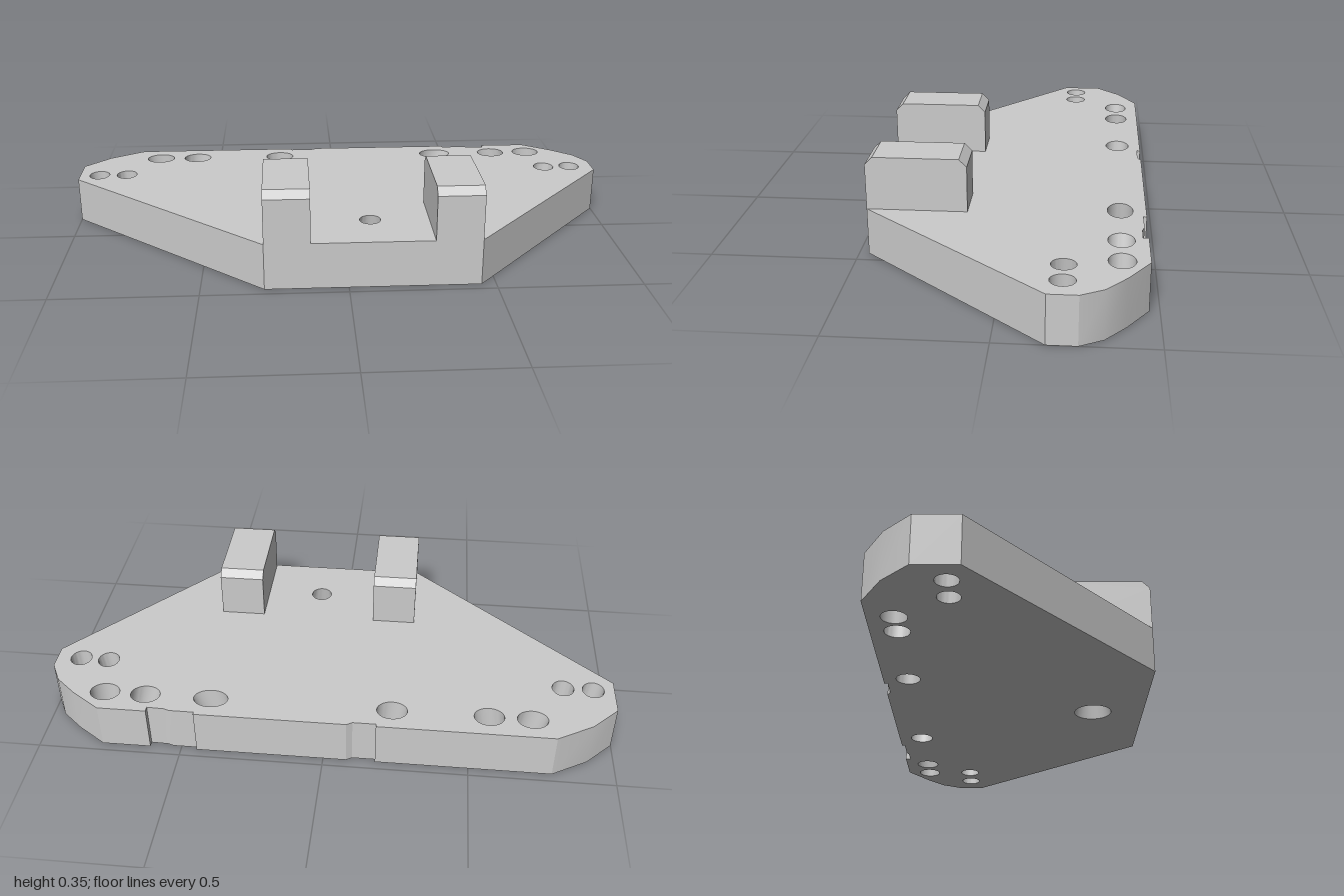
import * as THREE from 'three';
import { toCreasedNormals } from 'three/addons/utils/BufferGeometryUtils.js';

const THICK = 0.165, FRONT = 0.467, BACK = -0.467;

// Plate outline as [x, z], counter-clockwise seen from above
const outline = [
  [-1, -0.16], [-0.285, FRONT], [0.45, FRONT], [1, -0.16],
  [1, -0.255], [0.96, -0.33], [0.885, -0.395], [0.78, BACK],
  // wide stepped notch in the back edge
  [0.61, BACK], [0.61, -0.447], [0.55, -0.449], [0.53, -0.456], [0.445, -0.456], [0.445, BACK],
  // small notch with a sloped side
  [-0.08, BACK], [-0.1, -0.455], [-0.18, -0.455], [-0.18, BACK],
  [-0.785, BACK], [-0.91, -0.395], [-1, -0.305],
];

// Leaning holes: [x at top, x at bottom, z, half width at top, radius at bottom, half depth at top]
const holes = [
  [-0.708, -0.683, -0.38, 0.053, 0.042, 0.043],
  [-0.561, -0.585, -0.38, 0.052, 0.042, 0.043],
  [-0.23, -0.218, -0.38, 0.053, 0.042, 0.043],
  [0.4, 0.36, -0.38, 0.06, 0.042, 0.043],
  [0.631, 0.676, -0.38, 0.052, 0.042, 0.043],
  [0.775, 0.787, -0.38, 0.052, 0.042, 0.043],
  [-0.926, -0.91, -0.205, 0.038, 0.037, 0.04],
  [-0.821, -0.81, -0.205, 0.038, 0.037, 0.04],
  [0.81, 0.785, -0.205, 0.038, 0.037, 0.04],
  [0.912, 0.9, -0.205, 0.038, 0.037, 0.04],
  // centre hole, flaring towards the underside
  [0.084, 0.084, 0.28, 0.037, 0.068, 0.037],
];

function ring(x, z, rx, rz, n = 32) {
  return Array.from({ length: n }, (_, i) => {
    const t = (i / n) * Math.PI * 2;
    return [x + rx * Math.cos(t), z + rz * Math.sin(t)];
  });
}

// Wall between a lower loop at y = 0 and an upper loop at the plate top
function wall(low, high) {
  const pos = [];
  low.forEach((a, i) => {
    const j = (i + 1) % low.length;
    const a0 = [a[0], 0, a[1]], b0 = [low[j][0], 0, low[j][1]];
    const a1 = [high[i][0], THICK, high[i][1]], b1 = [high[j][0], THICK, high[j][1]];
    pos.push(...a0, ...b0, ...b1, ...a0, ...b1, ...a1);
  });
  const geo = new THREE.BufferGeometry();
  geo.setAttribute('position', new THREE.Float32BufferAttribute(pos, 3));
  geo.computeVertexNormals();
  return toCreasedNormals(geo, 0.4);
}

// Flat face pierced by the given loops; dir is 1 for the top, -1 for the underside
function face(loops, dir) {
  const flat = (loop) => loop.map(([x, z]) => new THREE.Vector2(x, -dir * z));
  const shape = new THREE.Shape(flat(outline));
  shape.holes = loops.map((loop) => new THREE.Path(flat(loop)));
  const geo = new THREE.ShapeGeometry(shape).rotateX(-dir * Math.PI / 2);
  return geo.translate(0, dir > 0 ? THICK : 0, 0);
}

// Upright block with chamfered front and rear top edges
function block(width) {
  const z0 = 0.127, z1 = FRONT, top = 0.35, c = 0.026;
  const profile = new THREE.Shape([
    [z0, THICK], [z1, THICK], [z1, top - c], [z1 - c, top], [z0 + c, top], [z0, top - c],
  ].map(([z, y]) => new THREE.Vector2(z, y)));
  return new THREE.ExtrudeGeometry(profile, { depth: width, bevelEnabled: false })
    .rotateY(-Math.PI / 2).translate(width / 2, 0, 0);
}

export function createModel() {
  const model = new THREE.Group();
  model.name = 'mountingPlate';
  const material = new THREE.MeshStandardMaterial({ color: 0xcccccc });
  const add = (name, geo, parent) => {
    const mesh = new THREE.Mesh(geo, material);
    mesh.name = name;
    parent.add(mesh);
    return mesh;
  };

  // Plate
  const plate = new THREE.Group();
  plate.name = 'plate';
  model.add(plate);
  const high = holes.map(([xt, , z, rx, , rz]) => ring(xt, z, rx, rz));
  const low = holes.map(([, xb, z, , r]) => ring(xb, z, r, r));
  add('plateTop', face(high, 1), plate);
  add('plateUnderside', face(low, -1), plate);
  add('plateEdge', wall(outline, outline), plate);
  holes.forEach((_, i) => add('holeWall' + (i + 1), wall(low[i], high[i]), plate));

  // Pair of blocks at the front
  add('rightBlock', block(0.157), model).position.x = -0.2065;
  add('leftBlock', block(0.16), model).position.x = 0.37;

  return model;
}
